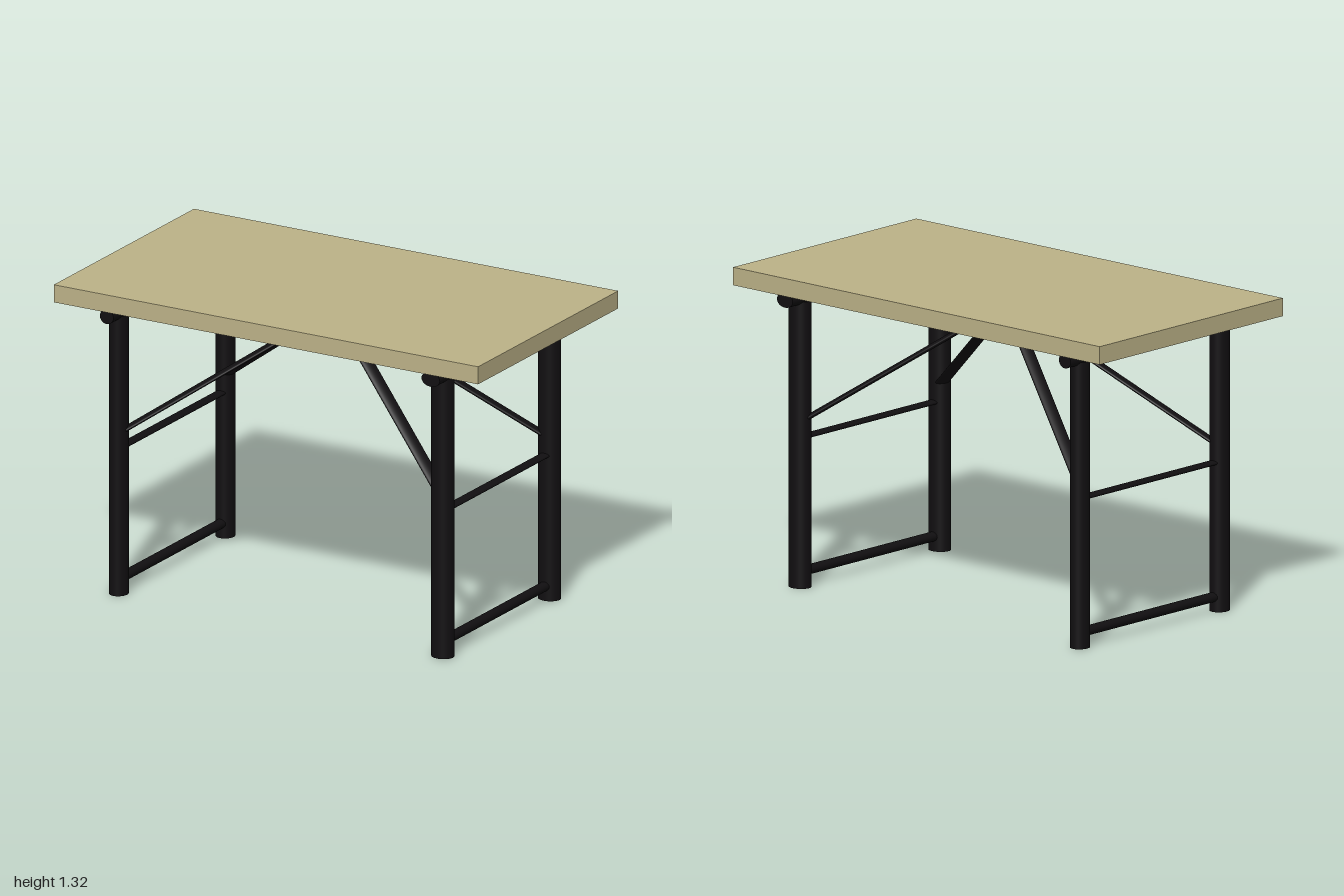
import * as THREE from 'three';

const steel = new THREE.MeshStandardMaterial({ color: 0x110f11 });
const wood = new THREE.MeshStandardMaterial({ color: 0xbdb388 });
const V = (x, y, z) => new THREE.Vector3(x, y, z);

// Oval bar between two points; "wide" is measured horizontally, "thick" across it
function bar(name, from, to, wide, thick) {
  const dir = to.clone().sub(from);
  const geo = new THREE.CylinderGeometry(0.5, 0.5, dir.length(), 32);
  geo.scale(wide, 1, thick);
  const along = dir.normalize();
  const side = Math.abs(along.y) > 0.99 ? V(1, 0, 0) : V(along.z, 0, -along.x).normalize();
  const across = side.clone().cross(along);
  const mesh = new THREE.Mesh(geo, steel);
  mesh.name = name;
  mesh.quaternion.setFromRotationMatrix(new THREE.Matrix4().makeBasis(side, along, across));
  mesh.position.copy(from).add(to).multiplyScalar(0.5);
  return mesh;
}

// Trestle frame: two legs, top rail, two rungs and the braces to the middle
function legFrame(name, x, legWide, railWide, braceWide, braceThick) {
  const frame = new THREE.Group();
  frame.name = name;
  const zFront = 0.426, zBack = -0.416;
  for (const [label, z] of [['front', zFront], ['back', zBack]]) {
    frame.add(bar(label + 'Leg', V(x, 0, z), V(x, 1.195, z), legWide, 0.087));
    frame.add(bar(label + 'Brace', V(x, 0.685, z), V(0, 1.232, 0), braceWide, braceThick));
  }
  frame.add(bar('topRail', V(x, 1.209, -0.508), V(x, 1.209, 0.522), railWide, 0.062));
  frame.add(bar('middleRung', V(x, 0.621, zBack), V(x, 0.621, zFront), 0.044, 0.02));
  frame.add(bar('bottomRung', V(x, 0.061, zBack), V(x, 0.061, zFront), 0.044, 0.04));
  return frame;
}

export function createModel() {
  const table = new THREE.Group();
  table.name = 'foldingTable';

  const top = new THREE.Mesh(new THREE.BoxGeometry(2, 0.075, 1.106), wood);
  top.name = 'tableTop';
  top.position.y = 1.2775;
  table.add(top);

  table.add(legFrame('leftFrame', 0.758, 0.097, 0.086, 0.058, 0.022));
  table.add(legFrame('rightFrame', -0.769, 0.079, 0.064, 0.055, 0.02));
  return table;
}
